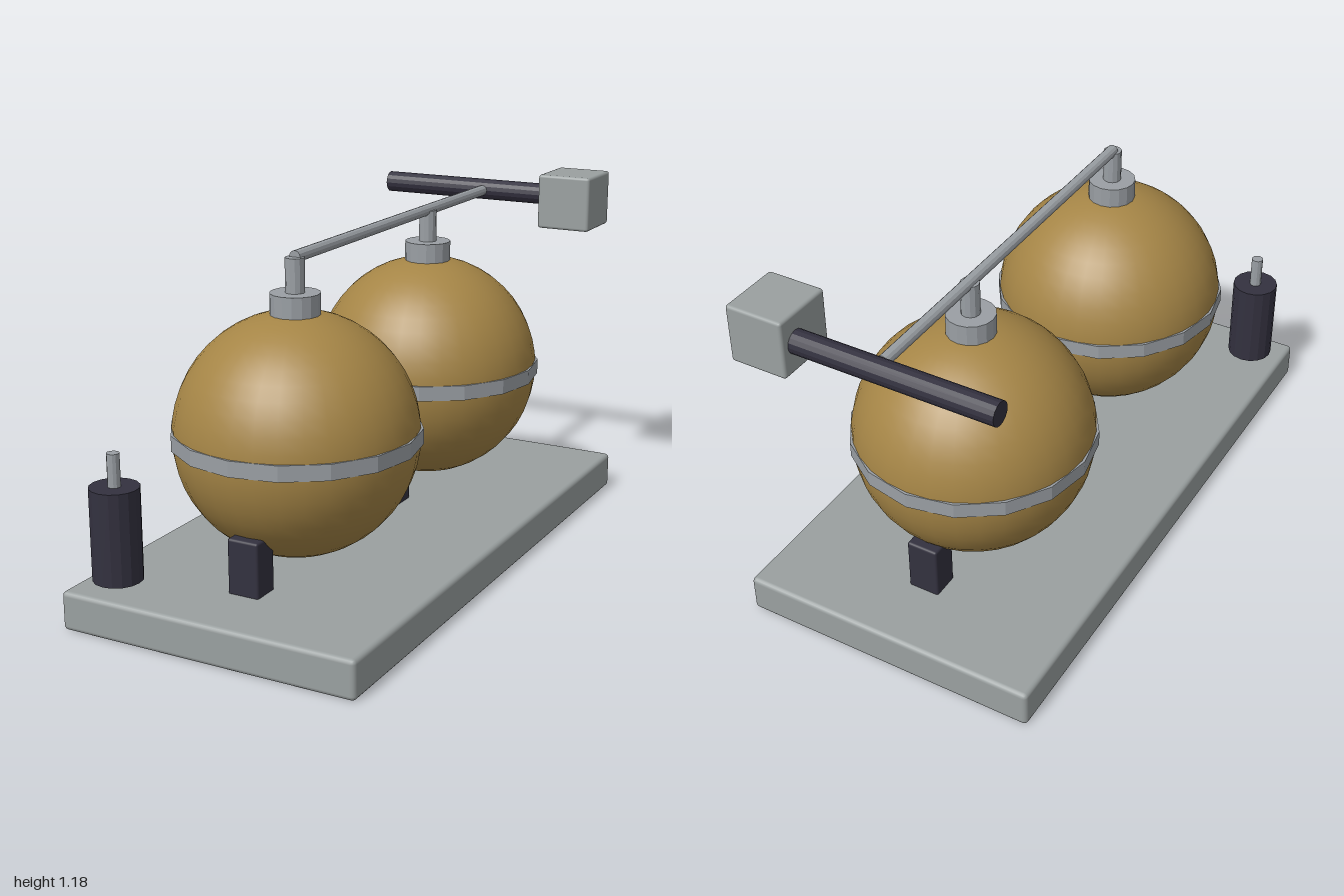
import * as THREE from 'three';
import { RoundedBoxGeometry } from 'three/addons/geometries/RoundedBoxGeometry.js';

export function createModel() {
  const model = new THREE.Group();
  model.name = 'twinTankUnit';

  const material = (name, color) => {
    const m = new THREE.MeshStandardMaterial({ color });
    m.name = name;
    return m;
  };
  const grey = material('grey metal', 0x9aa0a0);
  const steel = material('pipe steel', 0x9a9fa4);
  const brass = material('brass', 0xa58546);
  const dark = material('dark iron', 0x33313f);

  const add = (name, geometry, mat, x, y, z) => {
    const mesh = new THREE.Mesh(geometry, mat);
    mesh.name = name;
    mesh.position.set(x, y, z);
    model.add(mesh);
    return mesh;
  };
  const box = (w, h, d, r) => new RoundedBoxGeometry(w, h, d, 2, r);
  // Faceted cylinder with one normal per face
  const cylinder = (r, h, sides = 16) => {
    const g = new THREE.CylinderGeometry(r, r, h, sides).toNonIndexed();
    g.computeVertexNormals();
    return g;
  };

  // Base slab
  add('base', box(1, 0.125, 2, 0.015), grey, 0, 0.0625, 0);

  // Two spherical tanks with band, cap, outlet and cradle feet
  for (const z of [0.45, -0.45]) {
    add('tank', new THREE.SphereGeometry(0.3825, 32, 24), brass, 0, 0.545, z);
    add('tankBand', cylinder(0.39, 0.05), steel, 0, 0.545, z);
    add('tankCap', cylinder(0.078, 0.07), steel, 0, 0.95, z);
    add('outletPipe', cylinder(0.03, 0.12, 12), steel, 0, 1.032, z);
    for (const side of [1, -1]) {
      add('tankFoot', box(0.105, 0.18, 0.094, 0.008), dark, 0, 0.21, z + side * 0.277);
    }
  }

  // Feed pipe joining both tanks to the rear crossbar
  add('feedPipe', cylinder(0.019, 1.35, 12), steel, 0, 1.093, -0.225).rotation.x = Math.PI / 2;

  // Rear crossbar and control box
  add('crossbar', cylinder(0.0375, 0.665), dark, -0.0625, 1.0925, -0.9375).rotation.z = Math.PI / 2;
  add('controlBox', box(0.19, 0.19, 0.205, 0.01), grey, 0.359, 1.09, -0.8965);

  // Small upright canister at the front corner
  add('canister', cylinder(0.078, 0.295), dark, -0.379, 0.2925, 0.876);
  add('canisterRod', cylinder(0.02, 0.115, 12), steel, -0.379, 0.4875, 0.876);

  return model;
}
